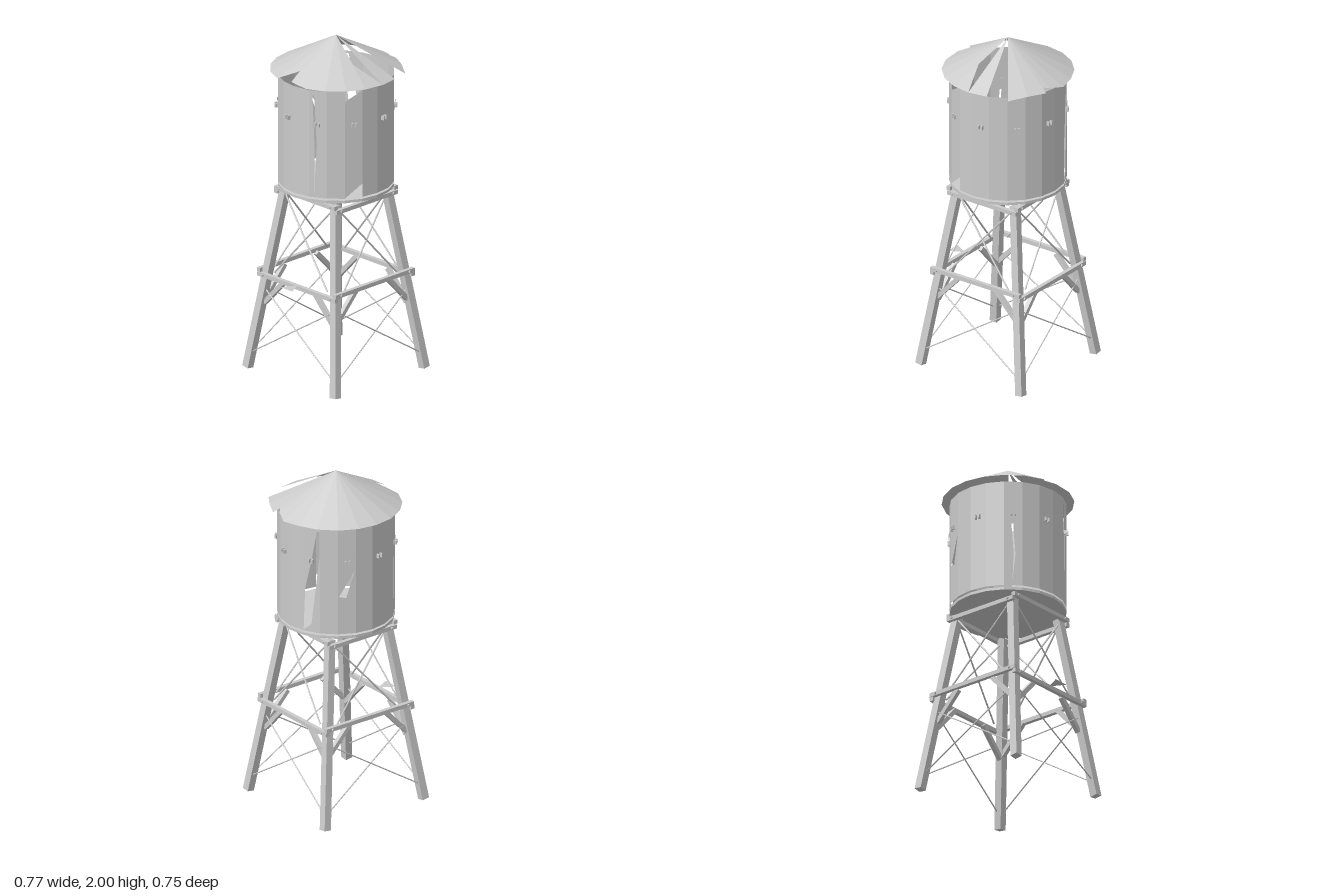
import * as THREE from 'three';

const SIDES = 20, STEP = (Math.PI * 2) / SIDES;
const mat = new THREE.MeshStandardMaterial({ color: 0xcccccc, flatShading: true });
const sheet = new THREE.MeshStandardMaterial({ color: 0xcccccc, flatShading: true, side: THREE.DoubleSide });
const V = (x, y, z) => new THREE.Vector3(x, y, z);

function add(parent, name, geometry, material = mat) {
  const mesh = new THREE.Mesh(geometry, material);
  mesh.name = name;
  parent.add(mesh);
  return mesh;
}

// Square timber or round rod running from a to b
function strut(parent, name, a, b, size, round = false) {
  const len = a.distanceTo(b);
  const geo = round ? new THREE.CylinderGeometry(size, size, len, 6) : new THREE.BoxGeometry(size, len, size);
  const mesh = add(parent, name, geo);
  mesh.position.copy(a).lerp(b, 0.5);
  mesh.quaternion.setFromUnitVectors(V(0, 1, 0), b.clone().sub(a).normalize());
  return mesh;
}

function triangles(points) {
  const geo = new THREE.BufferGeometry().setFromPoints(points);
  geo.computeVertexNormals();
  return geo;
}

// Distance of a leg's centre line from the axis, at height y
const legAt = (y) => 0.35 - 0.138 * y;

function buildFace(face, beamShift) {
  // Horizontal beams on the outside of the legs
  for (const [name, y, half] of [['middleBeam', 0.59, 0.31], ['topBeam', 1.06, 0.24]]) {
    const by = y + (y > 1 ? -beamShift : beamShift);
    const z = legAt(y) + 0.034;
    const beam = add(face, name, new THREE.BoxGeometry(half * 2, 0.024, 0.024));
    beam.position.set(0, by, z);
    for (const s of [-1, 1]) {
      const bolt = add(face, 'beamBolt', new THREE.CylinderGeometry(0.008, 0.008, 0.012, 6));
      bolt.rotation.x = Math.PI / 2;
      bolt.position.set(s * legAt(y), by, z + 0.015);
    }
  }
  for (const s of [-1, 1]) {
    // Knee brace under the middle beam
    strut(face, 'kneeBrace', V(s * 0.275, 0.42 + beamShift, 0.285), V(s * 0.125, 0.58 + beamShift, 0.285), 0.026);
    // Crossed tie rods
    strut(face, 'lowerTieRod', V(s * 0.325, 0.1, legAt(0.1) + 0.008), V(-s * 0.26, 0.475, legAt(0.475) + 0.008), 0.004, true);
    strut(face, 'upperTieRod', V(s * 0.21, 0.59, legAt(0.59) + 0.008), V(-s * 0.185, 1.05, legAt(1.05) + 0.008), 0.005, true);
  }
}

function buildFrame() {
  const frame = new THREE.Group();
  frame.name = 'supportFrame';
  for (const sx of [-1, 1]) for (const sz of [-1, 1]) {
    strut(frame, 'leg', V(sx * 0.35, 0.006, sz * 0.35), V(sx * 0.2, 1.085, sz * 0.2), 0.045);
  }
  for (let i = 0; i < 4; i++) {
    const face = new THREE.Group();
    face.name = 'frameFace';
    face.rotation.y = (i * Math.PI) / 2;
    buildFace(face, i % 2 ? -0.024 : 0);
    frame.add(face);
  }
  // Bent scrap sticking out of one middle beam
  add(frame, 'beamSplinter', triangles([V(-0.39, 0.575, -0.05), V(-0.39, 0.575, 0.045), V(-0.3, 0.575, 0)]), sheet);
  return frame;
}

function buildTank() {
  const tank = new THREE.Group();
  tank.name = 'tank';
  const R = 0.33, w = 2 * R * Math.sin(STEP / 2), apothem = R * Math.cos(STEP / 2);
  const y0 = 1.14, y1 = 1.78;
  // Tears in single staves: [share of width, height]
  const tears = {
    6: [[0.03, 1.145], [0.5, 1.19], [0.97, 1.6], [0.97, 1.765], [0.82, 1.765], [0.5, 1.58], [0.12, 1.4]],
    8: [[0.05, 1.37], [0.45, 1.36], [0.95, 1.53]],
    12: [[0.45, 1.16], [0.62, 1.33], [0.5, 1.52], [0.4, 1.52], [0.52, 1.34]],
    16: [[0.3, 1.17], [0.45, 1.45], [0.3, 1.75], [0.2, 1.75], [0.32, 1.45]],
  };
  const outline = (pts) => pts.map(([u, y]) => new THREE.Vector2((u - 0.5) * w, y));
  const full = [[0, y0], [1, y0], [1, y1], [0, y1]];
  const cutCorners = [[0, y0], [1, y0 + 0.08], [1, y1], [0, y1 - 0.06]];
  const place = (mesh, k, r) => {
    const a = (k + 0.5) * STEP;
    mesh.rotation.y = a;
    mesh.position.set(Math.sin(a) * r, 0, Math.cos(a) * r);
  };
  const bandRemnants = [1, 2, 5, 7, 8, 11, 12, 15, 18, 19];
  for (let k = 0; k < SIDES; k++) {
    const shape = new THREE.Shape(outline(k === 18 ? cutCorners : full));
    if (tears[k]) shape.holes.push(new THREE.Path(outline(tears[k])));
    place(add(tank, 'stave', new THREE.ShapeGeometry(shape), sheet), k, apothem);
    // Remains of the hoop
    if (bandRemnants.includes(k)) {
      const strip = new THREE.Shape(outline([[0, 1.565], [0.8, 1.565], [1, 1.598], [0.2, 1.598]]));
      place(add(tank, 'hoopRemnant', new THREE.ShapeGeometry(strip), sheet), k, apothem + 0.006);
    }
    // Pairs of hoop bolts on every second stave
    if (k % 2 === 0) {
      const lug = new THREE.Group();
      lug.name = 'hoopBolts';
      for (const s of [-1, 1]) {
        const bolt = add(lug, 'hoopBolt', new THREE.BoxGeometry(0.008, 0.024, 0.022));
        bolt.position.set(s * 0.011, 1.58, 0);
      }
      place(lug, k, apothem + 0.008);
      tank.add(lug);
    }
  }
  // Round floor under the staves
  add(tank, 'tankFloor', new THREE.CylinderGeometry(R, R, 0.016, SIDES)).position.y = 1.12;
  return tank;
}

function buildRoof() {
  const coneY = (x, z) => 2 - 0.2 * Math.hypot(x, z) / 0.373;
  const P = (x, z) => V(x, coneY(x, z), z);
  const rim = [];
  for (let k = 0; k < SIDES; k++) rim.push(P(0.373 * Math.sin(k * STEP), 0.373 * Math.cos(k * STEP)));
  const apex = V(0, 2, 0), dent = P(-0.06, 0.195);
  // Worn rim points
  rim[2] = P(0.235, 0.315);
  rim[4] = P(0.355, 0.12);
  rim[5] = P(0.38, -0.008);
  rim[14] = P(-0.352, -0.115);
  rim[15] = P(-0.352, 0);
  rim[16] = P(-0.352, 0.115);
  // Points breaking the rim after the given index
  const nicks = { 4: [P(0.322, 0.103), P(0.343, 0.075)], 14: [P(-0.275, -0.01)] };
  const tris = [];
  for (let k = 0; k < SIDES; k++) {
    if (k === 1) continue; // missing panel
    if (k === 19) { // half-torn panel
      tris.push(apex, rim[19], dent, dent, rim[19], rim[0]);
      continue;
    }
    const line = [rim[k], ...(nicks[k] || []), rim[(k + 1) % SIDES]];
    for (let i = 0; i < line.length - 1; i++) tris.push(apex, line[i], line[i + 1]);
  }
  const roof = new THREE.Group();
  roof.name = 'roof';
  add(roof, 'roofPanels', triangles(tris), sheet);
  return roof;
}

export function createModel() {
  const model = new THREE.Group();
  model.name = 'waterTower';
  model.add(buildFrame(), buildTank(), buildRoof());
  return model;
}
